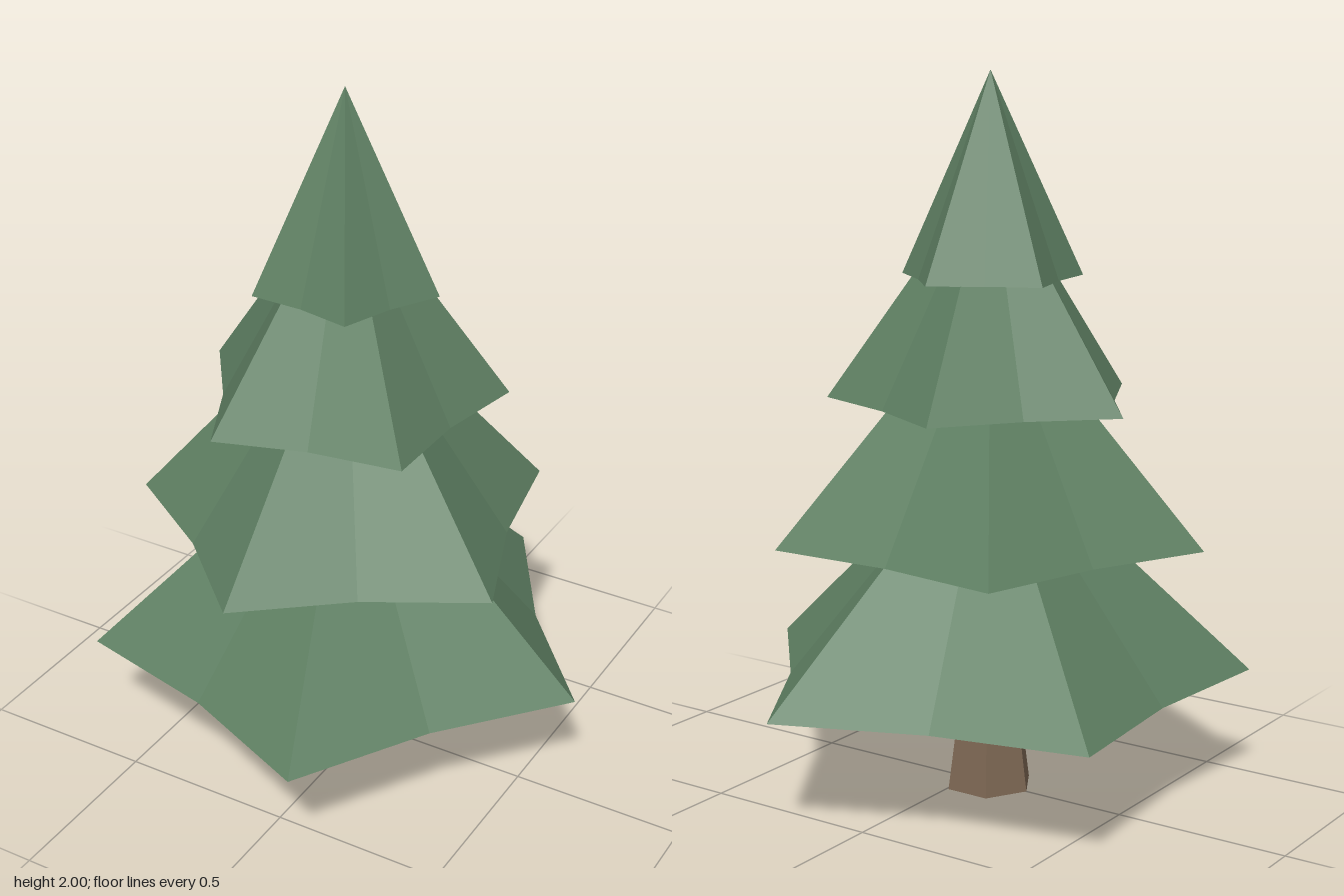
import * as THREE from 'three';

const POINTS = 5;      // star points per tier
const NOTCH = 0.76;    // notch radius relative to tip radius
const CENTER_X = -0.07;

// Hollow star-shaped cone: every second rim vertex is pulled inwards
function starCone(radius, height, tipAngle) {
  const geo = new THREE.ConeGeometry(radius, height, POINTS * 2, 1, true);
  const pos = geo.attributes.position;
  for (let i = 0; i < pos.count; i++) {
    if (pos.getY(i) > 0) continue;
    const step = Math.round(Math.atan2(pos.getX(i), pos.getZ(i)) / (Math.PI / POINTS));
    if (step % 2 !== 0) {
      pos.setX(i, pos.getX(i) * NOTCH);
      pos.setZ(i, pos.getZ(i) * NOTCH);
    }
  }
  geo.rotateY(Math.PI / 2 - THREE.MathUtils.degToRad(tipAngle));
  geo.computeVertexNormals();
  return geo;
}

export function createModel() {
  const model = new THREE.Group();
  model.name = 'pineTree';

  const needles = new THREE.MeshStandardMaterial({ color: 0x5f8063, flatShading: true, side: THREE.DoubleSide });
  needles.name = 'needleGreen';
  const bark = new THREE.MeshStandardMaterial({ color: 0x7d6753, flatShading: true });
  bark.name = 'barkBrown';

  // Tapered six-sided trunk with corners on the x axis
  const trunkHeight = 0.49;
  const trunkGeo = new THREE.CylinderGeometry(0.06, 0.127, trunkHeight, 6);
  trunkGeo.rotateY(Math.PI / 2);
  const trunk = new THREE.Mesh(trunkGeo, bark);
  trunk.name = 'trunk';
  trunk.position.set(CENTER_X, trunkHeight / 2, 0);
  model.add(trunk);

  // Branch tiers, bottom to top, each turned a little further
  const tiers = [
    { base: 0.33, apex: 1.03, radius: 0.735, angle: 0 },
    { base: 0.728, apex: 1.43, radius: 0.607, angle: 20.1 },
    { base: 1.11, apex: 1.75, radius: 0.449, angle: 41 },
    { base: 1.445, apex: 2, radius: 0.262, angle: 60.3 },
  ];
  tiers.forEach(({ base, apex, radius, angle }, i) => {
    const tier = new THREE.Mesh(starCone(radius, apex - base, angle), needles);
    tier.name = `branchTier${i + 1}`;
    tier.position.set(CENTER_X, (base + apex) / 2, 0);
    model.add(tier);
  });

  return model;
}
